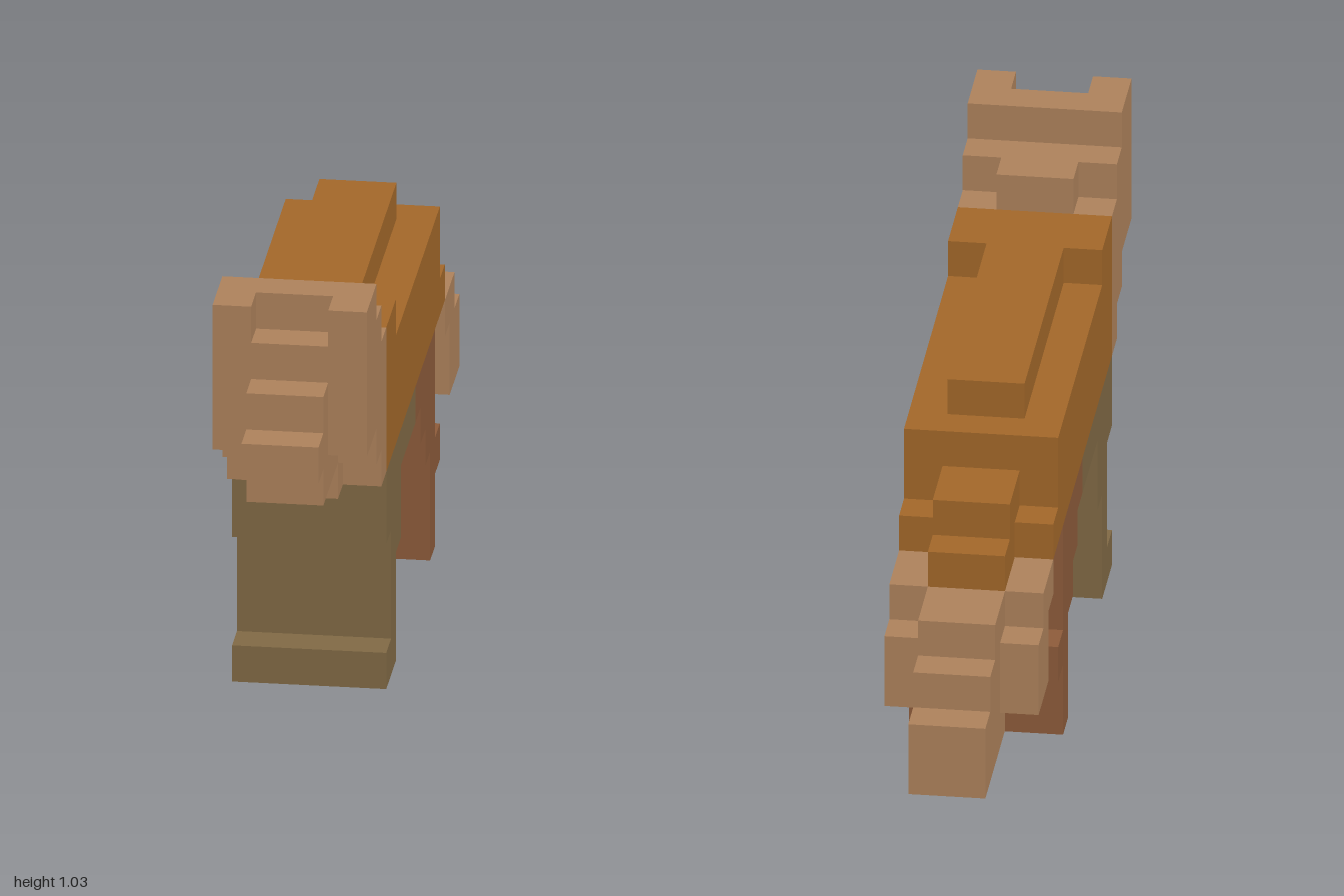
import * as THREE from 'three';

// Size of one block along each axis
const UX = 0.0855, UY = 0.086, UZ = 1 / 12;

function makeMaterial(name, color) {
  const m = new THREE.MeshStandardMaterial({ color });
  m.name = name;
  return m;
}

// Stepped side profile from columns [zFront, low, high], running back to zEnd
function steppedSlab(columns, zEnd, x0, x1) {
  const top = [], bottom = [];
  columns.forEach(([z, low, high], i) => {
    const back = i + 1 < columns.length ? columns[i + 1][0] : zEnd;
    top.push([z, high], [back, high]);
    bottom.push([z, low], [back, low]);
  });
  const outline = top.concat(bottom.reverse())
    .map(([z, y]) => new THREE.Vector2(z * UZ, y * UY));
  const clean = outline.filter((p, i) => !p.equals(outline[(i + 1) % outline.length]));
  const geo = new THREE.ExtrudeGeometry(new THREE.Shape(clean), {
    depth: (x1 - x0) * UX, bevelEnabled: false,
  });
  geo.rotateY(-Math.PI / 2);
  geo.translate(x1 * UX, 0, 0);
  return geo;
}

export function createModel() {
  const model = new THREE.Group();
  model.name = 'blockAnimal';
  const tan = makeMaterial('tan', 0xb0845d);
  const amber = makeMaterial('amber brown', 0xa5692a);
  const olive = makeMaterial('olive brown', 0x836b46);
  const rust = makeMaterial('rust brown', 0x8f5d3b);

  // A part has a two-block core, mirrored one-block flanks and full-width pieces
  function addPart(name, material, { core, flank, full }) {
    const group = new THREE.Group();
    group.name = name;
    const add = (label, [columns, zEnd], x0, x1) => {
      const mesh = new THREE.Mesh(steppedSlab(columns, zEnd, x0, x1), material);
      mesh.name = label;
      group.add(mesh);
    };
    add(name + 'Core', core, -1, 1);
    add(name + 'LeftFlank', flank, 1, 2);
    add(name + 'RightFlank', flank, -2, -1);
    if (full) add(name + 'Foot', full, -2, 2);
    model.add(group);
  }

  // Head with snout, brow notch and neck
  addPart('head', tan, {
    core: [[[12, 8, 9], [11, 7, 10], [10, 7, 11], [9, 7, 12], [8, 6, 11]], 6],
    flank: [[[10, 8, 12], [8, 7, 11], [7, 6, 10]], 6],
  });

  // Torso with raised spine and sloping rump
  addPart('body', amber, {
    core: [[[6, 6, 10], [-4, 6, 9], [-5, 6, 8], [-7, 6, 7]], -8],
    flank: [[[6, 6, 10], [4, 6, 9], [-5, 6, 7]], -6],
  });

  // Drooping tail
  addPart('tail', tan, {
    core: [[[-6, 3, 6], [-8, 2, 6], [-10, 2, 5], [-11, 2, 4]], -12],
    flank: [[[-6, 5, 6], [-7, 3, 6], [-8, 3, 5]], -9],
  });

  // Front legs, chest and paws
  addPart('frontLegs', olive, {
    core: [[[6, 4, 6], [5, 0, 6], [4, 5, 6]], 0],
    flank: [[[6, 4, 6], [5, 0, 6], [4, 3, 6], [3, 5, 6]], 0],
    full: [[[6, 0, 1]], 5],
  });

  // Rear legs, belly and hocks
  addPart('rearLegs', rust, {
    core: [[[0, 5, 6], [-1, 4, 6], [-2, 3, 6], [-3, 0, 6], [-4, 5, 6], [-5, 4, 6]], -6],
    flank: [[[0, 5, 6], [-1, 4, 6], [-2, 3, 6], [-3, 0, 6]], -4],
    full: [[[-4, 2, 3]], -5],
  });

  return model;
}
